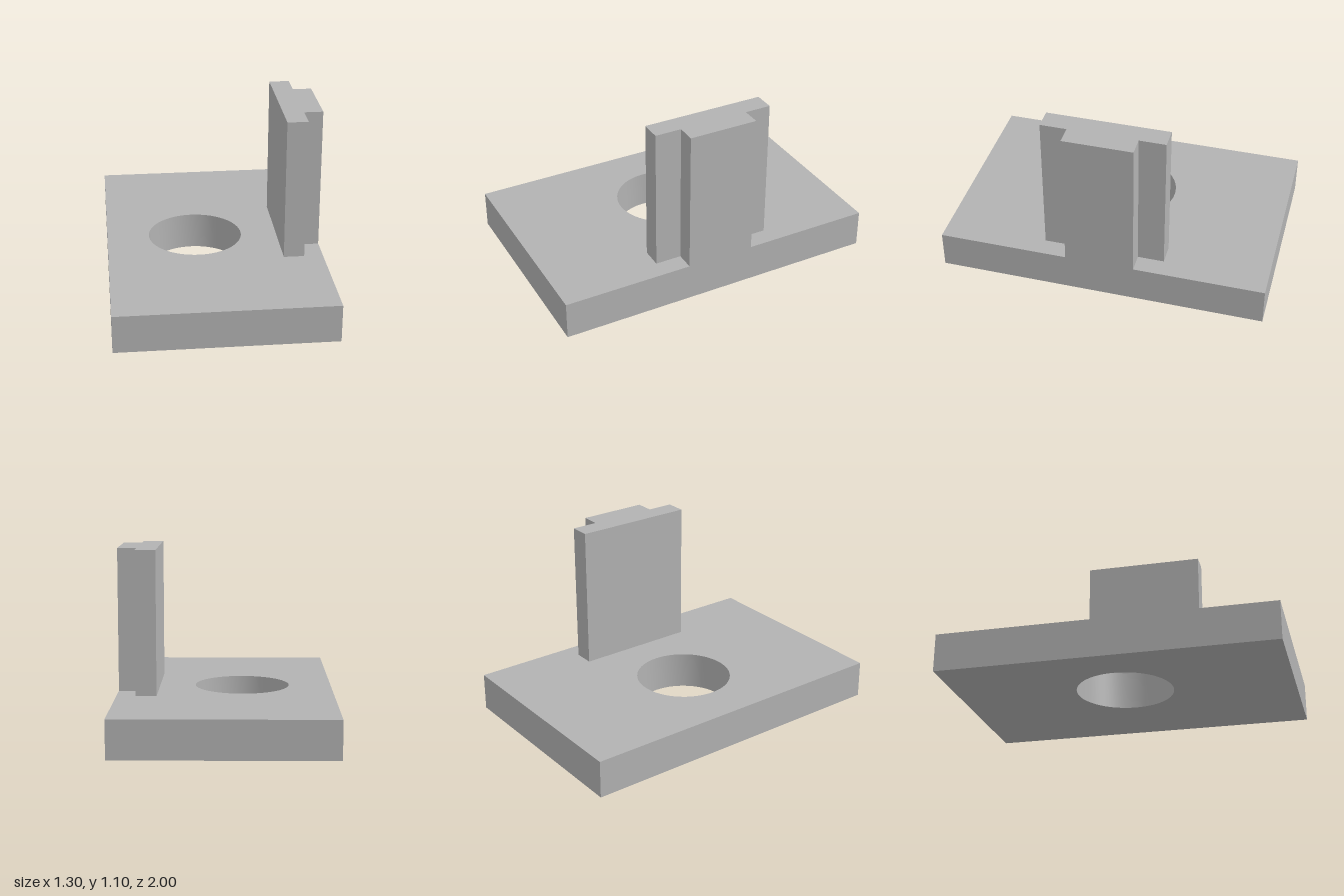
import * as THREE from 'three';
import { toCreasedNormals } from 'three/addons/utils/BufferGeometryUtils.js';

const BASE_HEIGHT = 0.23;
const TOTAL_HEIGHT = 1.10;

// Extrudes a plan outline upward from y0 to y1
function extrudeUp(shape, y0, y1) {
  const geometry = new THREE.ExtrudeGeometry(shape, {
    depth: y1 - y0, bevelEnabled: false, curveSegments: 32,
  });
  geometry.rotateX(-Math.PI / 2).translate(0, y0, 0);
  return toCreasedNormals(geometry, Math.PI / 6);
}

function outline(points) {
  return new THREE.Shape(points.map(([x, z]) => new THREE.Vector2(x, z)));
}

export function createModel() {
  const model = new THREE.Group();
  model.name = 'bracket';
  const grey = new THREE.MeshStandardMaterial({ color: 0xb2b2b2 });
  grey.name = 'grey';

  // Rectangular base plate with a round through hole
  const plate = outline([[-0.65, -1], [0.65, -1], [0.65, 1], [-0.65, 1]]);
  plate.holes.push(new THREE.Path().absarc(-0.10, 0, 0.29, 0, Math.PI * 2, true));
  const basePlate = new THREE.Mesh(extrudeUp(plate, 0, BASE_HEIGHT), grey);
  basePlate.name = 'basePlate';

  // T-section upright: wide flange inward, narrower web flush with the edge
  const tee = outline([
    [0.41, -0.37], [0.535, -0.37], [0.535, -0.21], [0.65, -0.21],
    [0.65, 0.21], [0.535, 0.21], [0.535, 0.37], [0.41, 0.37],
  ]);
  const upright = new THREE.Mesh(extrudeUp(tee, BASE_HEIGHT, TOTAL_HEIGHT), grey);
  upright.name = 'upright';

  model.add(basePlate, upright);
  return model;
}
